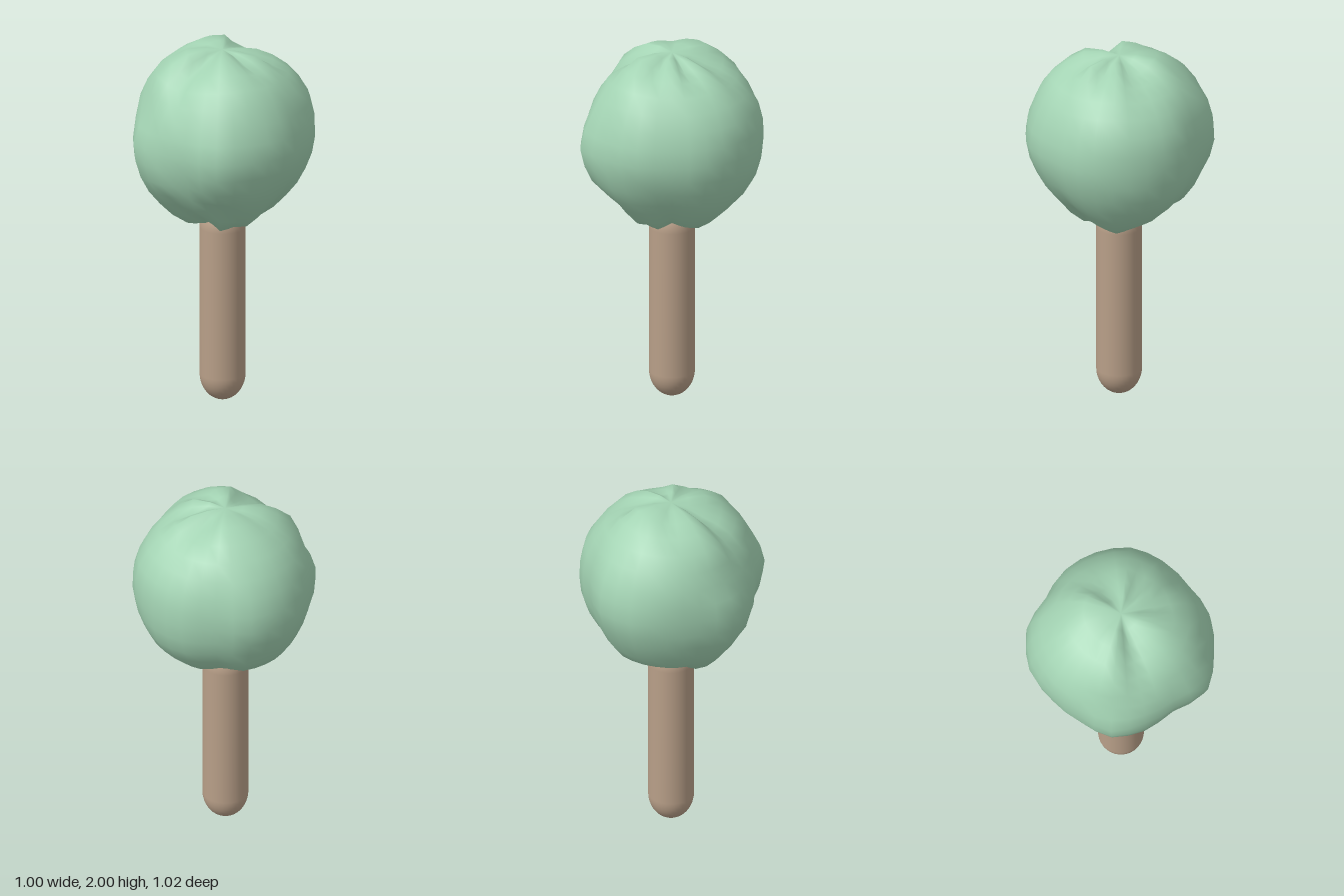
import * as THREE from 'three';
import { mergeVertices } from 'three/addons/utils/BufferGeometryUtils.js';

// Crown radius in hundredths: one row per 22.5 degrees from top to bottom,
// one column per 22.5 degrees around, starting at +x and turning toward +z.
const CROWN_ROWS = [
  [48],
  [50, 46, 51, 47, 51, 52, 46, 44, 51, 51, 50, 52, 53, 53, 47, 46],
  [51, 50, 49, 51, 52, 50, 48, 45, 51, 50, 51, 52, 51, 51, 50, 49],
  [52, 50, 48, 50, 50, 50, 46, 46, 46, 48, 50, 51, 52, 48, 50, 51],
  [50, 49.5, 47.5, 50, 50, 53, 46, 46.5, 50, 46.5, 47.5, 51, 51, 46, 49, 49.5],
  [49, 48, 46, 47, 49, 50, 45, 48, 50, 47, 47, 49, 48, 46, 49, 50],
  [50, 48, 45, 47, 48, 45, 47, 46, 50, 48, 49, 49, 49, 46, 48, 49],
  [52, 50, 47, 51, 50, 52, 46, 50, 52, 48, 47, 46, 45, 46, 49, 50],
  [48],
];

// Blends the table between its four nearest entries
function crownRadius(polar, around) {
  const row = Math.min(polar / (Math.PI / 8), 7.9999);
  const col = ((around / (Math.PI / 8)) + 16) % 16;
  const r = Math.floor(row), c = Math.floor(col);
  const at = (i, j) => CROWN_ROWS[i][j % CROWN_ROWS[i].length];
  const along = (i) => THREE.MathUtils.lerp(at(i, c), at(i, c + 1), col - c);
  return THREE.MathUtils.lerp(along(r), along(r + 1), row - r) / 100;
}

function createCrown() {
  let geometry = new THREE.SphereGeometry(1, 32, 16);
  geometry.deleteAttribute('uv');
  geometry.deleteAttribute('normal');
  geometry = mergeVertices(geometry, 1e-4);
  const position = geometry.attributes.position;
  const v = new THREE.Vector3();
  for (let i = 0; i < position.count; i++) {
    v.fromBufferAttribute(position, i);
    const polar = Math.acos(THREE.MathUtils.clamp(v.y, -1, 1));
    v.multiplyScalar(crownRadius(polar, Math.atan2(v.z, v.x)));
    position.setXYZ(i, v.x, v.y, v.z);
  }
  geometry.computeVertexNormals();
  const crown = new THREE.Mesh(geometry, new THREE.MeshStandardMaterial({ color: 0xa3d3b3 }));
  crown.name = 'crown';
  crown.position.y = 1.5;
  return crown;
}

// Straight trunk with a rounded cap at each end
function createTrunk() {
  const radius = 0.123, cap = 0.145, height = 1.12, steps = 10;
  const profile = [];
  for (let i = 0; i <= steps; i++) {
    const a = (i / steps) * Math.PI / 2;
    profile.push(new THREE.Vector2(radius * Math.sin(a), cap * (1 - Math.cos(a))));
  }
  for (let i = steps; i >= 0; i--) {
    profile.push(new THREE.Vector2(profile[i].x, height - profile[i].y));
  }
  const trunk = new THREE.Mesh(
    new THREE.LatheGeometry(profile, 32),
    new THREE.MeshStandardMaterial({ color: 0xb89f88 })
  );
  trunk.name = 'trunk';
  return trunk;
}

export function createModel() {
  const tree = new THREE.Group();
  tree.name = 'tree';
  tree.add(createTrunk(), createCrown());
  return tree;
}
